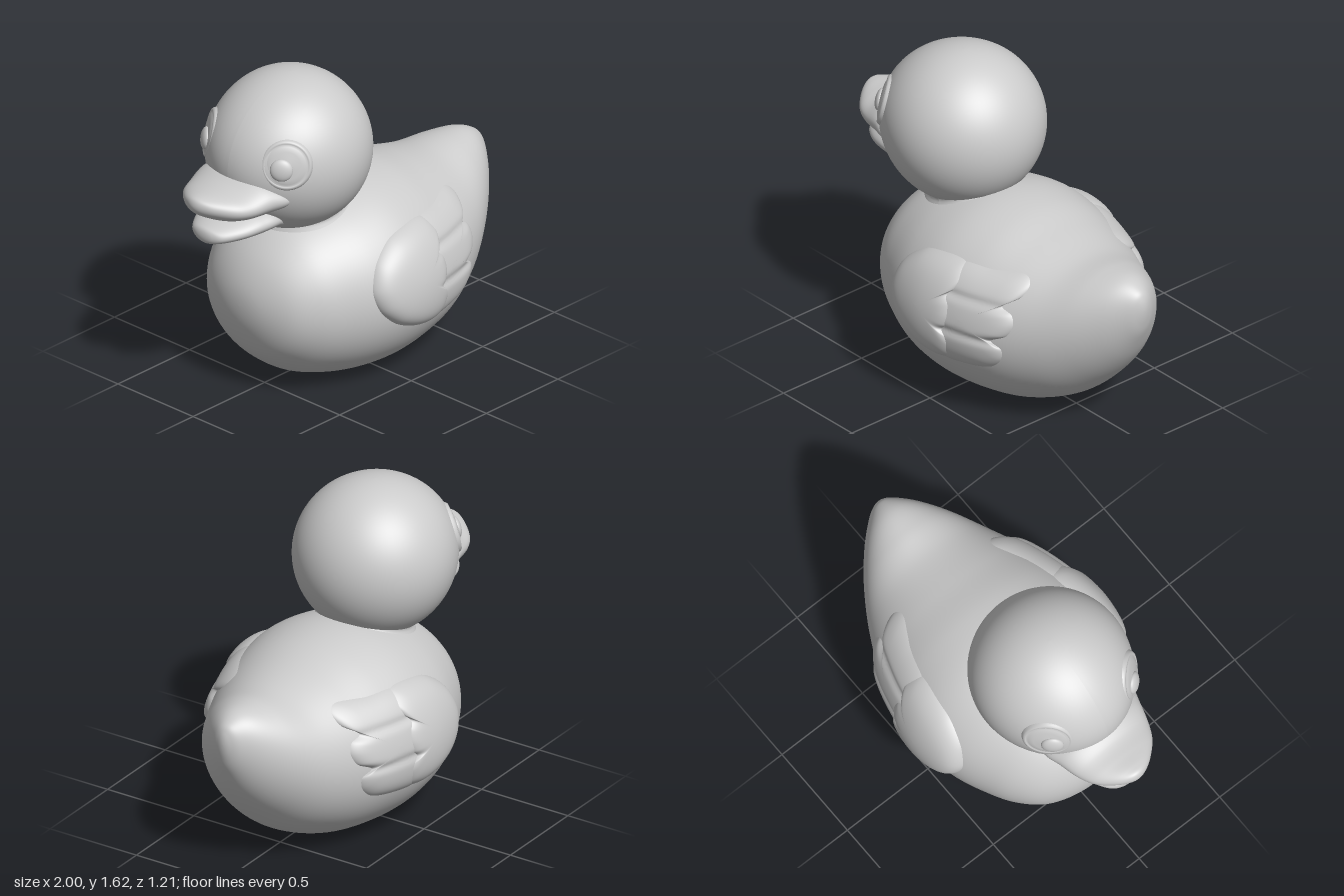
import * as THREE from 'three';

const material = new THREE.MeshStandardMaterial({ color: 0xcccccc });
const HEAD = new THREE.Vector3(-0.32, 1.22, 0);
const HEAD_R = 0.4;

// Stations along x: [x, top y, bottom y, half width]
const BODY = [
  [-0.68, 0.48, 0.48, 0], [-0.662, 0.6, 0.35, 0.14], [-0.6, 0.72, 0.21, 0.28], [-0.5, 0.82, 0.11, 0.38],
  [-0.38, 0.89, 0.04, 0.45], [-0.2, 0.95, -0.01, 0.525], [0, 0.985, -0.03, 0.555], [0.2, 0.972, -0.02, 0.53],
  [0.4, 0.922, 0.025, 0.475], [0.6, 0.88, 0.125, 0.38], [0.76, 0.884, 0.27, 0.28], [0.88, 0.877, 0.42, 0.18],
  [0.96, 0.84, 0.57, 0.09], [0.99, 0.8, 0.66, 0.04], [1, 0.74, 0.74, 0],
];
const UPPER_BILL = [
  [-1, 1.135, 1.135, 0], [-0.988, 1.168, 1.1, 0.05], [-0.95, 1.178, 1.07, 0.11], [-0.88, 1.183, 1.037, 0.18],
  [-0.8, 1.193, 1.02, 0.22], [-0.7, 1.225, 1.015, 0.25], [-0.61, 1.2, 1.03, 0.272], [-0.52, 1.16, 1.06, 0.24],
  [-0.45, 1.11, 1.11, 0],
];
const LOWER_BILL = [
  [-0.935, 0.95, 0.95, 0], [-0.925, 0.985, 0.917, 0.06], [-0.89, 1.0, 0.908, 0.11], [-0.8, 1.025, 0.906, 0.165],
  [-0.7, 1.05, 0.905, 0.195], [-0.6, 1.05, 0.905, 0.2], [-0.48, 1.0, 0.865, 0.14], [-0.4, 0.95, 0.95, 0],
];

// Smooth interpolation of stations; mirrored ghost stations round off both ends
function sample(stations, t) {
  const last = stations.length - 1;
  const ghost = ([x, top, bottom, w]) => [x, bottom, top, -w];
  const at = i => i < 0 ? ghost(stations[1]) : i > last ? ghost(stations[last - 1]) : stations[i];
  const f = t * last, i = Math.min(Math.floor(f), last - 1), u = f - i;
  const [a, b, c, d] = [at(i - 1), at(i), at(i + 1), at(i + 2)];
  return b.map((v, k) => v + 0.5 * u * (c[k] - a[k] + u * (2 * a[k] - 5 * v + 4 * c[k] - d[k]
    + u * (3 * (v - c[k]) + d[k] - a[k]))));
}

function gridGeometry(points, rows, cols, flip) {
  const index = [];
  for (let i = 0; i < rows - 1; i++) {
    for (let j = 0; j < cols; j++) {
      const k = (j + 1) % cols;
      const a = i * cols + j, b = i * cols + k, c = a + cols, d = b + cols;
      if (flip) index.push(a, c, b, b, c, d);
      else index.push(a, b, c, b, d, c);
    }
  }
  const geometry = new THREE.BufferGeometry();
  geometry.setAttribute('position', new THREE.Float32BufferAttribute(points, 3));
  geometry.setIndex(index);
  geometry.computeVertexNormals();
  return geometry;
}

// Elliptical cross-sections joined along x, kept above the ground
function loft(stations, rows = 81, cols = 64) {
  const points = [];
  for (let i = 0; i < rows; i++) {
    const [x, top, bottom, w] = sample(stations, i / (rows - 1));
    for (let j = 0; j < cols; j++) {
      const a = j / cols * Math.PI * 2;
      const y = (top + bottom) / 2 + (top - bottom) / 2 * Math.cos(a);
      points.push(x, Math.max(0, y), w * Math.sin(a));
    }
  }
  return gridGeometry(points, rows, cols, false);
}

// Half depth of the body at a given side position
function bodyDepth(x, y) {
  let lo = 0, hi = 1;
  for (let i = 0; i < 24; i++) {
    const mid = (lo + hi) / 2;
    if (sample(BODY, mid)[0] < x) lo = mid; else hi = mid;
  }
  const [, top, bottom, w] = sample(BODY, lo);
  const v = (2 * y - top - bottom) / (top - bottom);
  return w * Math.sqrt(Math.max(0, 1 - v * v));
}

// Raised pad that follows the body inside a closed outline
function featherPad(outline, [cx, cy], height, groove, side) {
  const curve = new THREE.CatmullRomCurve3(outline.map(([x, y]) => new THREE.Vector3(x, y, 0)), true, 'catmullrom', 0.45);
  const cols = 144, rows = 29, points = [];
  const rim = Array.from({ length: cols }, (_, j) => curve.getPoint(j / cols));
  for (let i = 0; i < rows; i++) {
    const r = Math.sin(i / (rows - 1) * Math.PI / 2);
    for (const p of rim) {
      const x = cx + (p.x - cx) * r, y = cy + (p.y - cy) * r;
      const dip = Math.exp(-(((y - 0.675) / 0.022) ** 2)) + Math.exp(-(((y - 0.49) / 0.022) ** 2));
      const h = height * Math.sqrt(1 - r ** 7) * (1 - groove * dip) - 0.012 * r ** 8;
      points.push(x, y, side * (bodyDepth(x, y) + h));
    }
  }
  return gridGeometry(points, rows, cols, side < 0);
}

const WING_FRONT = [
  [-0.26, 0.57], [-0.21, 0.69], [-0.09, 0.78], [0.06, 0.81], [0.16, 0.805], [0.21, 0.76], [0.2, 0.71],
  [0.165, 0.672], [0.2, 0.63], [0.21, 0.565], [0.195, 0.51], [0.165, 0.478], [0.2, 0.44], [0.21, 0.39],
  [0.18, 0.32], [0.1, 0.295], [-0.02, 0.315], [-0.14, 0.37], [-0.23, 0.46],
];
const WING_BACK = [
  [0.05, 0.56], [0.07, 0.75], [0.15, 0.805], [0.3, 0.808], [0.45, 0.818], [0.505, 0.785], [0.5, 0.73],
  [0.435, 0.677], [0.49, 0.645], [0.51, 0.595], [0.485, 0.535], [0.415, 0.492], [0.465, 0.455], [0.455, 0.39],
  [0.39, 0.33], [0.26, 0.3], [0.12, 0.295], [0.06, 0.38],
];

export function createModel() {
  const model = new THREE.Group();
  const add = (name, geometry, parent = model) => {
    const mesh = new THREE.Mesh(geometry, material);
    mesh.name = name;
    parent.add(mesh);
    return mesh;
  };

  add('body', loft(BODY, 113, 96));
  add('upperBill', loft(UPPER_BILL));
  add('lowerBill', loft(LOWER_BILL));

  // Head: a ball drawn slightly forward at the face
  const ball = new THREE.SphereGeometry(HEAD_R, 80, 56);
  const p = ball.attributes.position;
  for (let i = 0; i < p.count; i++) {
    const x = p.getX(i);
    p.setX(i, x - 0.04 * Math.max(0, -x / HEAD_R) ** 2);
  }
  ball.computeVertexNormals();
  add('head', ball).position.copy(HEAD);

  // Neck: soft flare that dips over the shoulders
  const flare = new THREE.SplineCurve([[0.285, -0.06], [0.25, -0.012], [0.238, 0.015], [0.25, 0.055], [0.24, 0.08]]
    .map(([x, y]) => new THREE.Vector2(x, y)));
  const neckGeometry = new THREE.LatheGeometry(flare.getPoints(16), 64);
  const n = neckGeometry.attributes.position;
  for (let i = 0; i < n.count; i++) n.setY(i, n.getY(i) - 0.6 * n.getZ(i) ** 2);
  neckGeometry.computeVertexNormals();
  const neck = add('neck', neckGeometry);
  neck.position.set(-0.24, 0.925, 0);
  neck.rotation.z = 0.26;

  for (const side of [1, -1]) {
    const label = side > 0 ? 'left' : 'right';

    // Eye: shallow raised disc with a grooved rim and a domed pupil
    const eye = new THREE.Group();
    eye.name = label + 'Eye';
    eye.position.set(HEAD.x - 0.02, HEAD.y, 0);
    const profile = [[0, 0.008], [0.07, 0.008], [0.095, 0.007], [0.103, 0.003], [0.108, 0.009], [0.116, 0.01], [0.123, 0.005], [0.128, -0.006]]
      .map(([r, h]) => new THREE.Vector2(r, Math.sqrt(HEAD_R ** 2 - r * r) + h)).reverse();
    const up = new THREE.Vector3(0, 1, 0);
    const disc = add('eyeDisc', new THREE.LatheGeometry(profile, 48), eye);
    disc.quaternion.setFromUnitVectors(up, new THREE.Vector3(-0.285, 0.09, side * 0.265).normalize());
    const gaze = new THREE.Vector3(-0.305, 0.07, side * 0.25).normalize();
    const pupil = add('pupil', new THREE.SphereGeometry(1, 32, 20), eye);
    pupil.scale.set(0.056, 0.024, 0.056);
    pupil.quaternion.setFromUnitVectors(up, gaze);
    pupil.position.copy(gaze).multiplyScalar(HEAD_R + 0.004);
    model.add(eye);

    // Wing: two overlapping rows of feathers
    const wing = new THREE.Group();
    wing.name = label + 'Wing';
    add('frontFeathers', featherPad(WING_FRONT, [0, 0.56], 0.052, 0, side), wing);
    add('backFeathers', featherPad(WING_BACK, [0.26, 0.57], 0.034, 0.35, side), wing);
    model.add(wing);
  }
  return model;
}
